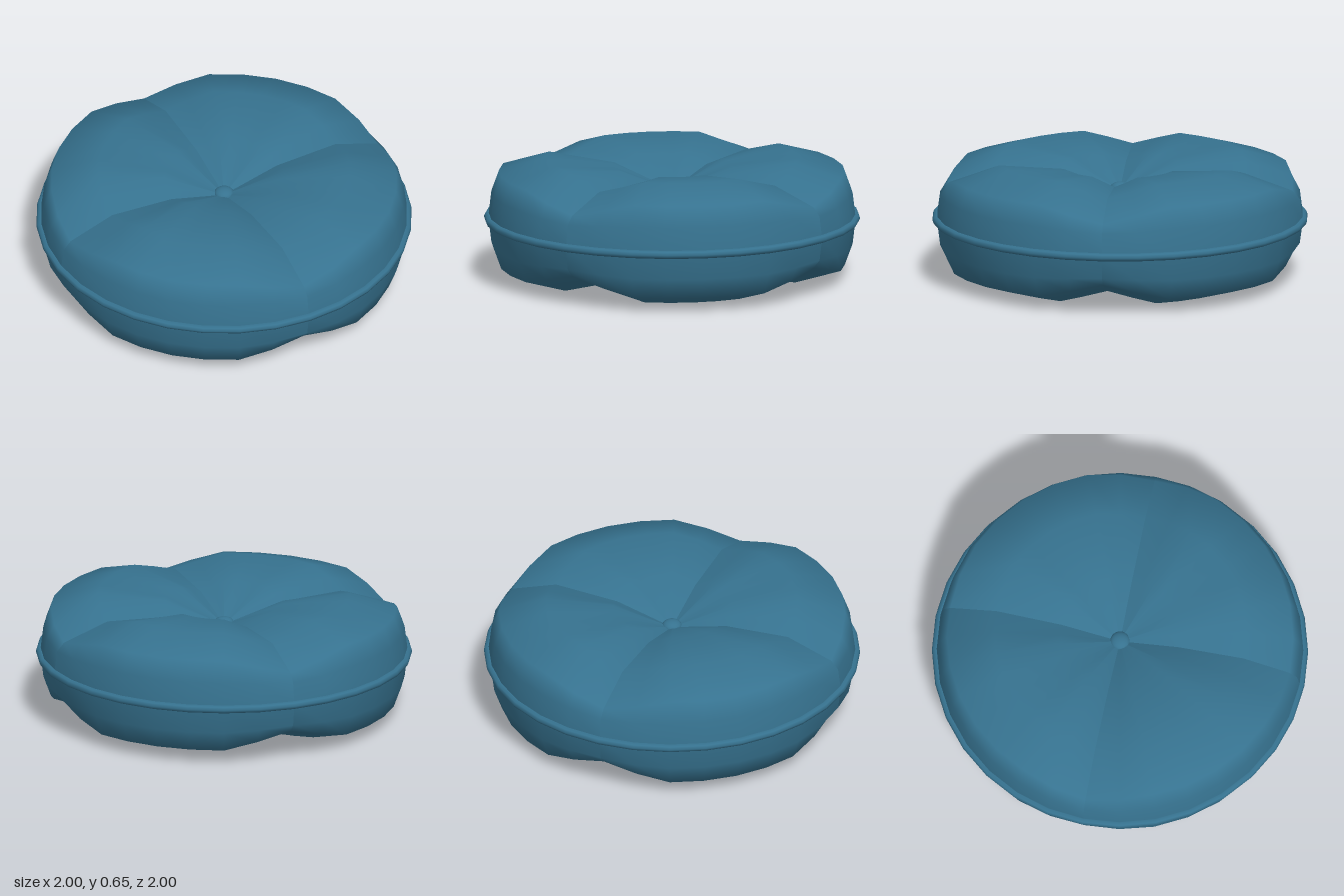
import * as THREE from 'three';

const MID = 0.328; // height of the seam
const STEPS = 8; // facets per quarter

// Rings from the tufted centre to the seam: [radius, height above seam, crease depth]
const RINGS = [
  [0, 0.15, 0],
  [0.315, 0.283, 0.05],
  [0.67, 0.325, 0.073],
  [0.92, 0.25, 0.085],
  [0.96, 0.14, 0.02],
  [0.977, 0, 0],
];

// One puffy quarter; its two straight edges sink into the creases
function quarterGeometry() {
  const pos = [], index = [];
  for (const [r, h, depth] of RINGS) {
    for (let j = 0; j <= STEPS; j++) {
      const a = (j / STEPS) * Math.PI / 2;
      const fromEdge = Math.min(j, STEPS - j);
      const sink = Math.max(0, 1 - fromEdge / 2) * depth;
      pos.push(r * Math.cos(a), h - sink, r * Math.sin(a));
    }
  }
  const row = STEPS + 1;
  for (let i = 0; i < RINGS.length - 1; i++) {
    for (let j = 0; j < STEPS; j++) {
      const a = i * row + j, b = a + row;
      if (i > 0) index.push(a, a + 1, b);
      index.push(b, a + 1, b + 1);
    }
  }
  const geo = new THREE.BufferGeometry();
  geo.setAttribute('position', new THREE.Float32BufferAttribute(pos, 3));
  geo.setIndex(index);
  geo.computeVertexNormals();
  return geo;
}

export function createModel() {
  const model = new THREE.Group();
  model.name = 'roundCushion';
  const fabric = new THREE.MeshStandardMaterial({ color: 0x36728f });

  // Top and bottom covers, four quarters each
  const quarter = quarterGeometry();
  for (const side of ['top', 'bottom']) {
    const cover = new THREE.Group();
    cover.name = side + 'Cover';
    for (let k = 0; k < 4; k++) {
      const lobe = new THREE.Mesh(quarter, fabric);
      lobe.name = side + 'Lobe' + (k + 1);
      lobe.rotation.y = k * Math.PI / 2;
      cover.add(lobe);
    }
    cover.position.y = MID;
    if (side === 'bottom') cover.rotation.x = Math.PI;
    model.add(cover);
  }

  // Piping around the seam
  const piping = new THREE.Mesh(new THREE.TorusGeometry(0.978, 0.022, 8, 32), fabric);
  piping.name = 'piping';
  piping.rotation.x = Math.PI / 2;
  piping.position.y = MID;
  model.add(piping);

  // Tufting button
  const button = new THREE.Mesh(new THREE.SphereGeometry(0.053, 16, 12), fabric);
  button.name = 'button';
  button.scale.y = 0.6;
  button.position.y = MID + 0.16;
  model.add(button);

  return model;
}
